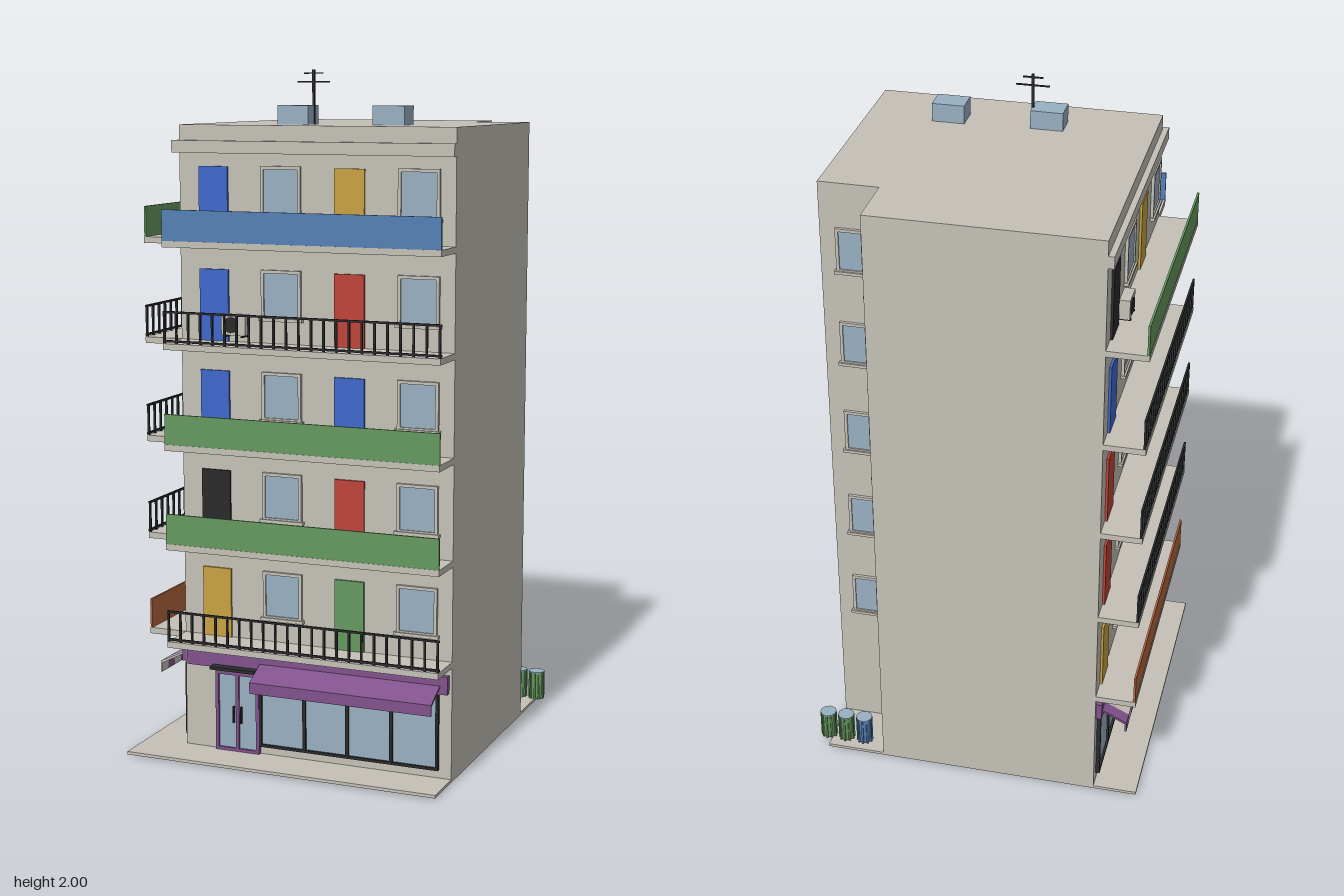
import * as THREE from 'three';

const paint = (name, color) => Object.assign(new THREE.MeshStandardMaterial({ color }), { name });
const M = {
  wall: paint('wall beige', 0xc5c1b8), glass: paint('pale blue', 0x98b0c3),
  dark: paint('near black', 0x2a2b2c), blue: paint('door blue', 0x4169cc),
  yellow: paint('ochre', 0xc9a343), red: paint('red', 0xc0453a),
  green: paint('green', 0x65995f), steel: paint('panel blue', 0x5680b6),
  purple: paint('purple', 0x80528c), orange: paint('orange', 0xb5673f),
};

const WIDTH = 0.835, FLOORS = 5, STEP = 0.2915, SLAB_TOP = 0.358, OUT = 0.115;

function add(parent, name, geo, mat) {
  const m = new THREE.Mesh(geo, mat);
  m.name = name;
  parent.add(m);
  return m;
}

// box given by its minimum and maximum corners
function box(parent, name, mat, x0, x1, y0, y1, z0, z1) {
  const m = add(parent, name, new THREE.BoxGeometry(x1 - x0, y1 - y0, z1 - z0), mat);
  m.position.set((x0 + x1) / 2, (y0 + y1) / 2, (z0 + z1) / 2);
  return m;
}

// rectangular frame around an opening
function frame(parent, name, mat, x0, x1, y0, y1, t, depth) {
  box(parent, name, mat, x0 - t, x0, y0 - t, y1 + t, 0, depth);
  box(parent, name, mat, x1, x1 + t, y0 - t, y1 + t, 0, depth);
  box(parent, name, mat, x0, x1, y0 - t, y0, 0, depth);
  box(parent, name, mat, x0, x1, y1, y1 + t, 0, depth);
}

// house window with frame and sill, centred on u
function houseWindow(parent, u, y, w, h) {
  box(parent, 'windowGlass', M.glass, u - w / 2, u + w / 2, y, y + h, 0, 0.005);
  frame(parent, 'windowFrame', M.wall, u - w / 2, u + w / 2, y, y + h, 0.009, 0.009);
  box(parent, 'windowSill', M.wall, u - w / 2 - 0.015, u + w / 2 + 0.015, y - 0.014, y - 0.005, 0, 0.014);
}

// glazed shop front with dark frame and mullions
function shopWindow(parent, u0, u1, panes) {
  box(parent, 'shopGlass', M.glass, u0, u1, 0.045, 0.25, 0, 0.005);
  frame(parent, 'shopFrame', M.dark, u0, u1, 0.045, 0.25, 0.008, 0.012);
  for (let i = 1; i < panes; i++) {
    const u = u0 + (u1 - u0) * i / panes;
    box(parent, 'shopMullion', M.dark, u - 0.005, u + 0.005, 0.045, 0.25, 0, 0.011);
  }
}

// double glass door with canopy and doorstep
function shopDoor(parent, u) {
  box(parent, 'doorGlass', M.glass, u - 0.06, u + 0.06, 0.013, 0.247, 0, 0.006);
  frame(parent, 'doorFrame', M.purple, u - 0.06, u + 0.06, 0.022, 0.245, 0.01, 0.013);
  box(parent, 'doorMiddle', M.purple, u - 0.005, u + 0.005, 0.013, 0.247, 0, 0.012);
  for (const s of [-1, 1]) box(parent, 'doorHandle', M.dark, u + s * 0.012 - 0.002, u + s * 0.012 + 0.002, 0.1, 0.15, 0.006, 0.016);
  box(parent, 'doorCanopy', M.dark, u - 0.073, u + 0.073, 0.265, 0.274, 0, 0.045);
  box(parent, 'doorstep', M.wall, u - 0.09, u + 0.09, 0, 0.006, 0, 0.085);
}

// sloping awning with valance, cut into coloured stripes
function awning(parent, u0, u1, colours, stripes) {
  const profile = new THREE.Shape([[0.015, 0.291], [0.015, 0.285], [0.085, 0.249], [0.085, 0.222], [0.09, 0.222], [0.09, 0.255]]
    .map(p => new THREE.Vector2(...p)));
  const w = (u1 - u0) / stripes;
  for (let i = 0; i < stripes; i++) {
    const geo = new THREE.ExtrudeGeometry(profile, { depth: w, bevelEnabled: false });
    geo.rotateY(-Math.PI / 2).translate(u0 + w * (i + 1), 0, 0);
    add(parent, 'awningStripe', geo, colours[i % colours.length]);
  }
}

// slab with either a solid panel or an open railing
function balcony(parent, top, panel) {
  box(parent, 'balconySlab', M.wall, 0, WIDTH, top - 0.018, top, 0, OUT + 0.003);
  if (panel) {
    box(parent, 'balconyPanel', panel, 0, WIDTH, top, top + 0.088, OUT - 0.004, OUT + 0.002);
    return;
  }
  for (const y of [top + 0.004, top + 0.087]) box(parent, 'railing', M.dark, 0, WIDTH + 0.003, y, y + 0.006, OUT - 0.004, OUT + 0.002);
  const bars = 22;
  for (let i = 0; i <= bars; i++) {
    const u = 0.003 + (WIDTH - 0.006) * i / bars;
    box(parent, 'railingBar', M.dark, u - 0.003, u + 0.003, top, top + 0.09, OUT - 0.004, OUT + 0.002);
  }
}

function airConditioner(parent, u, y) {
  box(parent, 'airConditioner', M.wall, u, u + 0.075, y, y + 0.058, 0.008, 0.038);
  const fan = add(parent, 'fan', new THREE.CylinderGeometry(0.023, 0.023, 0.004, 12), M.dark);
  fan.rotation.x = Math.PI / 2;
  fan.position.set(u + 0.03, y + 0.029, 0.039);
  for (const s of [0.008, 0.062]) box(parent, 'bracket', M.dark, u + s, u + s + 0.005, y - 0.006, y, 0, 0.04);
}

// one street face: local x along the wall, local z outwards
function facade(name, doorsA, doorsB, panels) {
  const g = new THREE.Group();
  g.name = name;
  for (let f = 0; f < FLOORS; f++) {
    const top = SLAB_TOP + STEP * f;
    balcony(g, top, panels[f]);
    [[0.108, doorsA[f]], [0.525, doorsB[f]]].forEach(([u, mat]) =>
      box(g, 'balconyDoor', mat, u - 0.045, u + 0.045, top, top + 0.206, 0, 0.007));
    for (const u of [0.317, 0.73]) houseWindow(g, u, top + 0.078, 0.104, 0.122);
  }
  box(g, 'signBand', M.purple, 0.012, WIDTH - 0.008, 0.265, 0.318, 0, 0.017);
  return g;
}

export function createModel() {
  const model = new THREE.Group();
  model.name = 'apartmentBuilding';

  // main block with a notch in the back corner
  const plan = new THREE.Shape([[-0.37, -0.35], [0.465, -0.35], [0.465, 0.31], [0.29, 0.31], [0.29, 0.485], [-0.37, 0.485]]
    .map(p => new THREE.Vector2(...p)));
  const block = new THREE.ExtrudeGeometry(plan, { depth: 1.84, bevelEnabled: false });
  add(model, 'mainBlock', block.rotateX(-Math.PI / 2).translate(0, 0.006, 0), M.wall);
  box(model, 'pavement', M.wall, -0.5, 0.465, 0.004, 0.013, -0.485, 0.485);
  box(model, 'corniceFront', M.wall, -0.387, 0.465, 1.767, 1.802, 0.34, 0.367);
  box(model, 'corniceSide', M.wall, -0.387, -0.36, 1.767, 1.802, -0.485, 0.34);

  // front face, floors listed from the bottom
  const front = facade('frontFacade',
    [M.yellow, M.dark, M.blue, M.blue, M.blue],
    [M.green, M.red, M.blue, M.red, M.yellow],
    [null, M.green, M.green, null, M.steel]);
  front.position.set(-0.37, 0, 0.35);
  shopDoor(front, 0.172);
  shopWindow(front, 0.25, 0.79, 4);
  awning(front, 0.248, 0.805, [M.purple], 1);
  airConditioner(front, 0.145, 1.255);
  airConditioner(front, 0.56, 1.546);
  model.add(front);

  // side face
  const side = facade('sideFacade',
    [M.yellow, M.red, M.red, M.blue, M.dark],
    [M.dark, M.red, M.red, M.blue, M.yellow],
    [M.orange, null, null, null, M.green]);
  side.position.set(-0.37, 0, -0.485);
  side.rotation.y = -Math.PI / 2;
  shopDoor(side, 0.42);
  for (const u of [0.03, 0.51]) {
    shopWindow(side, u + 0.01, u + 0.3, 2);
    awning(side, u - 0.005, u + 0.315, [M.purple, M.wall], 8);
  }
  box(side, 'poster', M.red, 0.68, 0.765, 0.07, 0.16, 0.005, 0.009);
  airConditioner(side, 0.14, 1.546);
  model.add(side);

  // windows in the notch
  [[0.29, -0.3975, Math.PI / 2], [0.3775, -0.31, Math.PI]].forEach(([x, z, turn]) => {
    const g = new THREE.Group();
    g.name = 'notchWindows';
    g.position.set(x, 0, z);
    g.rotation.y = turn;
    for (let f = 0; f < FLOORS; f++) houseWindow(g, 0, 0.423 + STEP * f, 0.065, 0.115);
    model.add(g);
  });

  // roof units and aerial
  box(model, 'roofUnit', M.glass, -0.112, -0.017, 1.846, 1.9, 0.168, 0.242);
  box(model, 'roofUnit', M.glass, 0.174, 0.269, 1.846, 1.9, 0.156, 0.229);
  box(model, 'aerialMast', M.dark, -0.022, -0.015, 1.846, 2, 0.193, 0.2);
  [[1.966, 0.049], [1.99, 0.029]].forEach(([y, r]) =>
    box(model, 'aerialBar', M.dark, -0.0185 - r, -0.0185 + r, y - 0.002, y + 0.002, 0.1945, 0.1985));

  // ribbed bins with pale lids
  [[0.36, M.steel], [0.418, M.green], [0.475, M.green]].forEach(([x, mat]) => {
    const bin = new THREE.Group();
    bin.name = 'bin';
    bin.position.set(x, 0, -0.446);
    add(bin, 'binBody', new THREE.CylinderGeometry(0.023, 0.021, 0.086, 10).toNonIndexed(), mat).position.y = 0.065;
    add(bin, 'binLid', new THREE.CylinderGeometry(0.025, 0.025, 0.003, 10), M.glass).position.y = 0.1095;
    for (let i = 0; i < 10; i++) {
      const a = i * Math.PI / 5;
      const rib = add(bin, 'binRib', new THREE.BoxGeometry(0.005, 0.086, 0.005), mat);
      rib.position.set(Math.sin(a) * 0.0225, 0.065, Math.cos(a) * 0.0225);
      rib.rotation.y = a;
    }
    model.add(bin);
  });
  return model;
}
